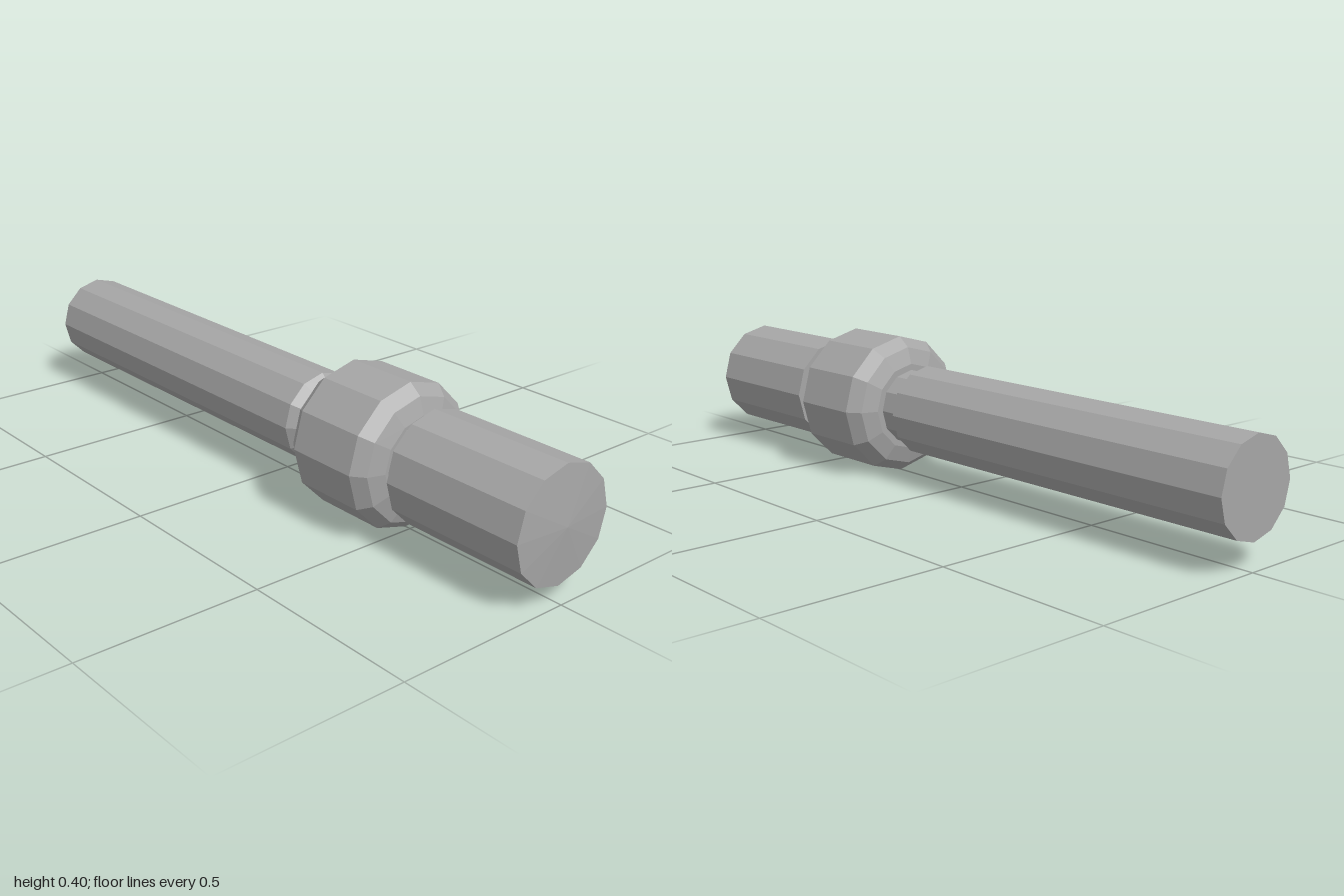
import * as THREE from 'three';

export function createModel() {
  const model = new THREE.Group();
  model.name = 'handle';
  const metal = new THREE.MeshStandardMaterial({ color: 0xa6a6a6, flatShading: true });
  metal.name = 'greyMetal';

  // Twelve-sided turned part; profile is [radius, z] from back to front
  function turned(name, profile) {
    const points = profile.map(([r, z]) => new THREE.Vector2(r, z));
    const geometry = new THREE.LatheGeometry(points, 12);
    geometry.rotateX(Math.PI / 2);
    geometry.translate(0, 0.2, 0);
    const mesh = new THREE.Mesh(geometry, metal);
    mesh.name = name;
    model.add(mesh);
  }

  // Long rear shaft with a chamfer into the neck
  turned('shaft', [[0, -1], [0.128, -1], [0.128, 0.148], [0.107, 0.17]]);
  turned('rearNeck', [[0.107, 0.17], [0.107, 0.225]]);
  // Bevelled collar
  turned('collar', [[0.107, 0.22], [0.125, 0.22], [0.172, 0.235], [0.2, 0.272],
    [0.2, 0.483], [0.172, 0.518], [0.125, 0.533], [0.115, 0.533]]);
  turned('frontNeck', [[0.115, 0.53], [0.115, 0.57]]);
  // Front grip with a slightly domed end
  turned('frontGrip', [[0.115, 0.57], [0.155, 0.57], [0.155, 0.987], [0, 1]]);

  return model;
}
